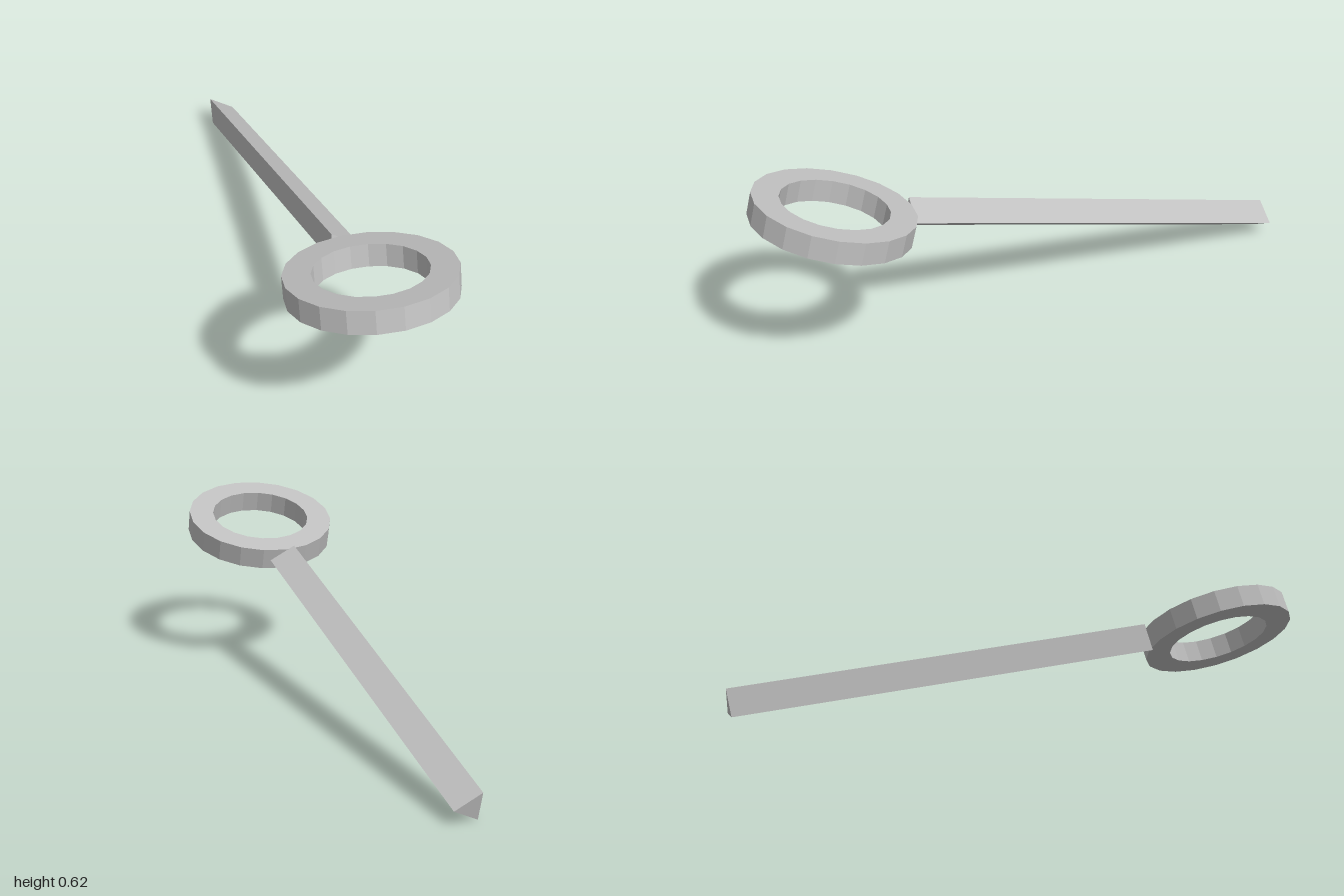
import * as THREE from 'three';

const OUTER = 0.273, INNER = 0.183, THICK = 0.078;
const BAR_LENGTH = 1.5, BAR_RADIUS = 0.06;

// Give every facet its own hard-edged normal
function faceted(geometry) {
  const flat = geometry.toNonIndexed();
  flat.computeVertexNormals();
  return flat;
}

export function createModel() {
  const model = new THREE.Group();
  model.name = 'ringHandle';

  const grey = new THREE.MeshStandardMaterial({ color: 0xc0c0c0 });
  grey.name = 'light grey';

  // Twenty-sided ring with a square-cut section
  const h = THICK / 2;
  const section = [[OUTER, -h], [OUTER, h], [INNER, h], [INNER, -h], [OUTER, -h]]
    .map(([x, y]) => new THREE.Vector2(x, y));
  const ring = new THREE.Mesh(faceted(new THREE.LatheGeometry(section, 20)), grey);
  ring.name = 'ring';

  // Three-sided bar running back from the ring, one edge pointing to +x
  const barGeometry = new THREE.CylinderGeometry(BAR_RADIUS, BAR_RADIUS, BAR_LENGTH, 3);
  barGeometry.rotateY(Math.PI / 2).rotateX(Math.PI / 2);
  const bar = new THREE.Mesh(faceted(barGeometry), grey);
  bar.name = 'handleBar';
  bar.position.z = -(OUTER + BAR_LENGTH / 2);

  // Both parts lean together, the ring end raised
  const tilted = new THREE.Group();
  tilted.name = 'tiltedBody';
  tilted.add(ring, bar);
  tilted.position.set(0, 0.51, 0.726);
  tilted.rotation.x = -Math.PI / 12;
  model.add(tilted);

  return model;
}
